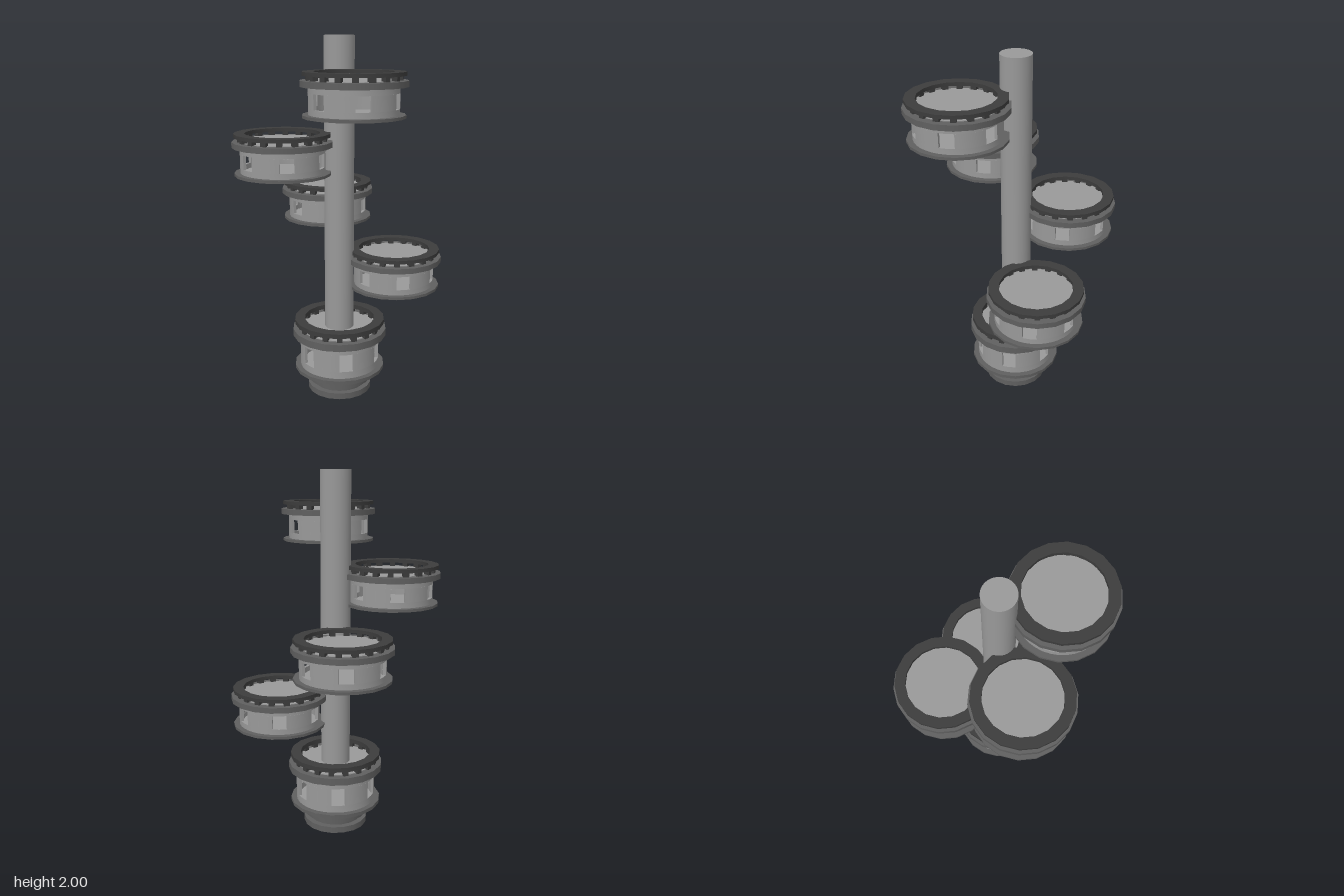
import * as THREE from 'three';
import { toCreasedNormals } from 'three/addons/utils/BufferGeometryUtils.js';

const mat = (name, color) => {
  const m = new THREE.MeshStandardMaterial({ color });
  m.name = name;
  return m;
};

export function createModel() {
  const light = mat('light grey', 0x999999);
  const mid = mat('mid grey', 0x606060);
  const dark = mat('dark grey', 0x3c3c3c);
  const SIDES = 18;
  const rad = THREE.MathUtils.degToRad;

  const add = (parent, name, geometry, material) => {
    const mesh = new THREE.Mesh(geometry, material);
    mesh.name = name;
    parent.add(mesh);
    return mesh;
  };

  // solid disc between two heights, with a corner on the x axis
  const disc = (r, y0, y1, sides = SIDES) =>
    new THREE.CylinderGeometry(r, r, y1 - y0, sides).rotateY(Math.PI / 2).translate(0, (y0 + y1) / 2, 0);

  // upright extrusion of a flat shape
  const extrude = (shape, y0, y1, curveSegments) => {
    const g = new THREE.ExtrudeGeometry(shape, { depth: y1 - y0, bevelEnabled: false, curveSegments });
    return toCreasedNormals(g.rotateX(-Math.PI / 2).translate(0, y0, 0), 0.6);
  };

  // full ring
  const ring = (rOut, rIn, y0, y1, sides) => {
    const s = new THREE.Shape().absarc(0, 0, rOut, 0, Math.PI * 2, false);
    s.holes.push(new THREE.Path().absarc(0, 0, rIn, 0, Math.PI * 2, true));
    return extrude(s, y0, y1, sides / 2);
  };

  // part of a ring between two angles
  const sector = (rOut, rIn, y0, y1, a0, a1) => {
    const s = new THREE.Shape();
    s.absarc(0, 0, rOut, a0, a1, false);
    s.absarc(0, 0, rIn, a1, a0, true);
    return extrude(s, y0, y1, 4);
  };

  // geometries shared by every pod
  const R = 0.226, RI = 0.21;
  const geo = {
    base: disc(0.258, 0, 0.015),
    floor: disc(RI, 0.015, 0.018),
    sill: ring(R, RI, 0.015, 0.045, 36),
    lintel: ring(R, RI, 0.12, 0.15, 36),
    pier: sector(R, RI, 0.045, 0.12, rad(0), rad(40)),
    flange: disc(0.268, 0.15, 0.18),
    deck: disc(0.225, 0.18, 0.183),
    post: new THREE.BoxGeometry(0.03, 0.023, 0.03).translate(0.222, 0.1915, 0),
    rail: ring(0.257, 0.2, 0.203, 0.222, SIDES),
  };

  const makePod = (name, x, y, z, stretch = 1) => {
    const pod = new THREE.Group();
    pod.name = name;
    add(pod, 'bottomFlange', geo.base, mid);
    add(pod, 'roomFloor', geo.floor, light);
    add(pod, 'wallSill', geo.sill, light);
    add(pod, 'wallLintel', geo.lintel, light);
    // six piers leave six open windows between them
    for (let i = 0; i < 6; i++) add(pod, 'wallPier', geo.pier, light).rotation.y = rad(i * 60);
    add(pod, 'topFlange', geo.flange, mid);
    add(pod, 'deck', geo.deck, light);
    for (let i = 0; i < SIDES; i++) add(pod, 'railPost', geo.post, dark).rotation.y = rad(i * 20);
    add(pod, 'rail', geo.rail, dark);
    pod.position.set(x, y, z);
    pod.scale.y = stretch;
    return pod;
  };

  const model = new THREE.Group();
  model.name = 'podTower';

  // pods spiralling up the column
  model.add(
    makePod('basePod', -0.008, 0.13, 0.003, 1.35),
    makePod('firstPod', 0.288, 0.607, -0.107),
    makePod('secondPod', -0.13, 0.95, -0.29),
    makePod('thirdPod', -0.29, 1.28, 0.135),
    makePod('fourthPod', 0.113, 1.607, 0.285),
  );

  // central column
  add(model, 'column', disc(0.082, 0.3, 2, 32), light).position.set(-0.01, 0, -0.002);

  // stepped foot
  const foot = new THREE.Group();
  foot.name = 'foot';
  foot.position.set(-0.008, 0, 0.003);
  [[0.182, 0, 0.035], [0.15, 0.035, 0.06], [0.178, 0.06, 0.095], [0.205, 0.095, 0.13]]
    .forEach(([r, y0, y1]) => add(foot, 'footStep', disc(r, y0, y1), mid));
  model.add(foot);

  return model;
}
